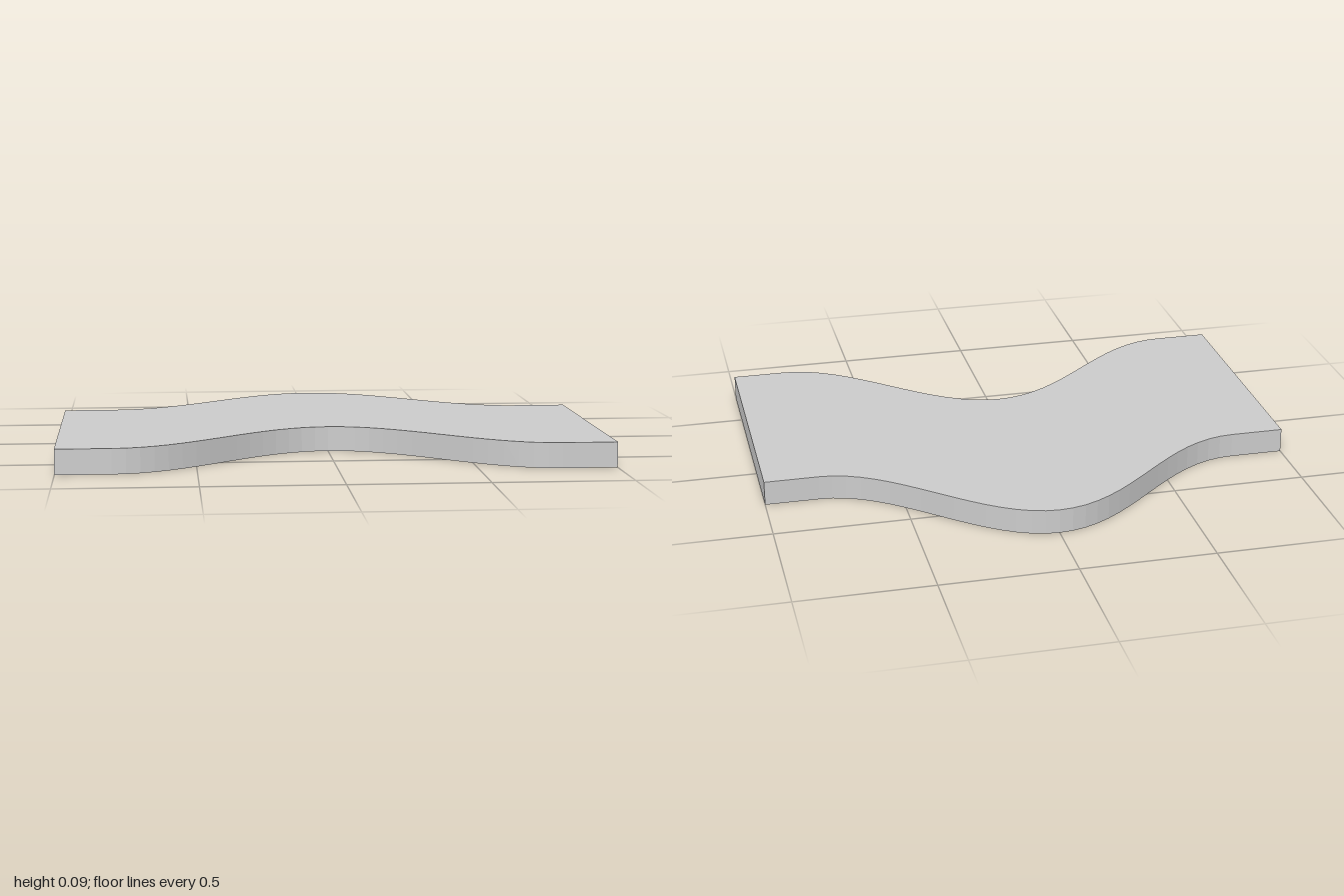
import * as THREE from 'three';

const THICKNESS = 0.092;
const BEND = 0.8; // half width of the wave
const STEPS = 32;

// Cosine wave, flat beyond the bend
const wave = (x) => 0.23 * (1 + Math.cos((Math.PI * x) / BEND));

export function createModel() {
  const group = new THREE.Group();
  group.name = 'wavySlab';

  // Stations along x: flat end, wave, flat end
  const xs = [-1];
  for (let i = 0; i <= STEPS; i++) xs.push(-BEND + (2 * BEND * i) / STEPS);
  xs.push(1);
  const edge = (base) => xs.map((x) => new THREE.Vector2(x, base + (Math.abs(x) < BEND ? wave(x) : 0)));

  // Outline: front edge left to right, back edge returning
  const outline = new THREE.Shape([...edge(-0.725), ...edge(0.265).reverse()]);
  const geometry = new THREE.ExtrudeGeometry(outline, { depth: THICKNESS, bevelEnabled: false });
  geometry.rotateX(-Math.PI / 2);

  const slab = new THREE.Mesh(geometry, new THREE.MeshStandardMaterial({ color: 0xcccccc }));
  slab.name = 'slab';
  group.add(slab);
  return group;
}
